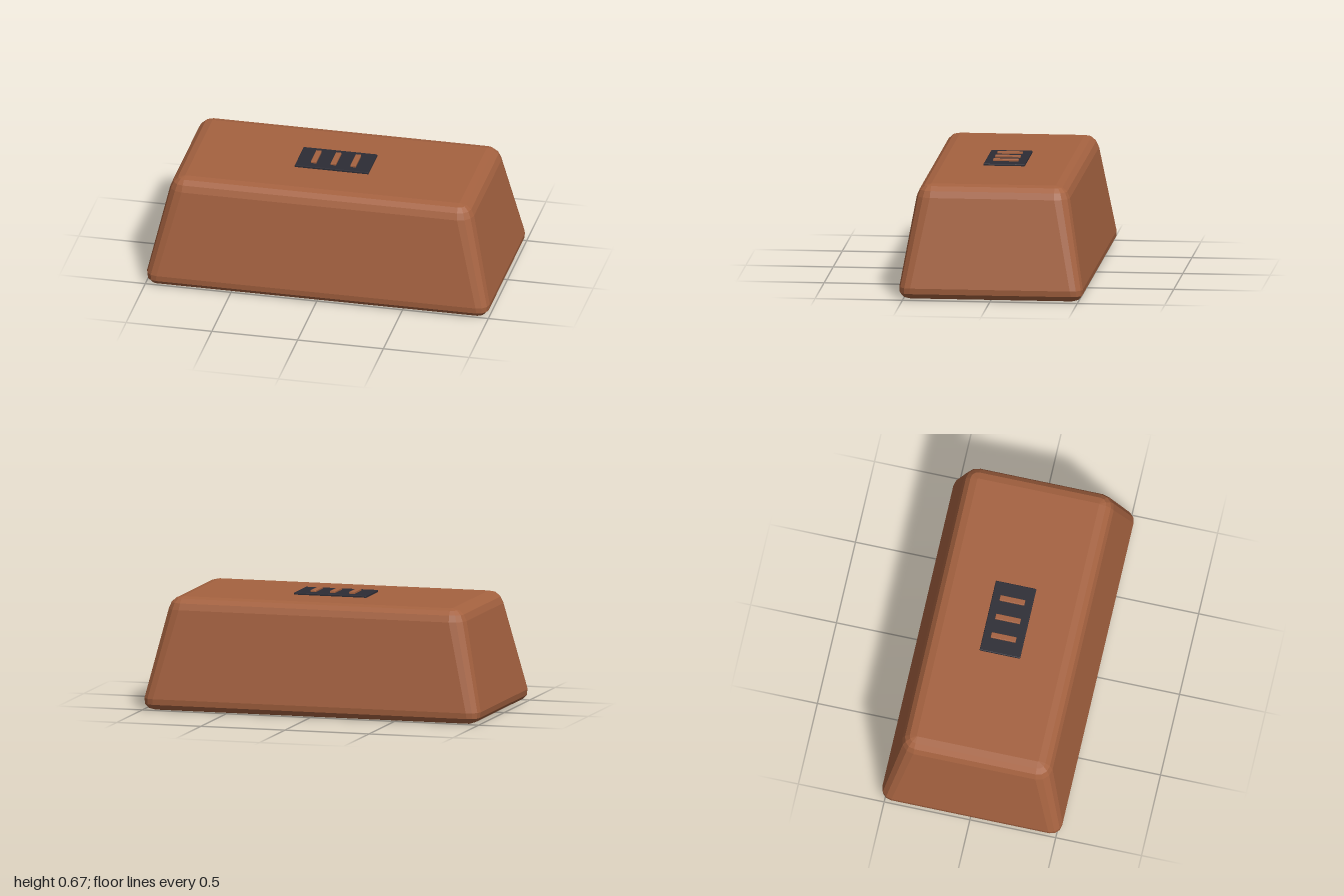
import * as THREE from 'three';
import { RoundedBoxGeometry } from 'three/addons/geometries/RoundedBoxGeometry.js';

const CORNER_STEPS = 3;

// One horizontal rounded-rectangle ring: height, half width, half depth, corner radius
function ring([y, hx, hz, r]) {
  const points = [];
  for (let corner = 0; corner < 4; corner++) {
    const sx = corner === 0 || corner === 3 ? 1 : -1;
    const sz = corner < 2 ? 1 : -1;
    for (let k = 0; k <= CORNER_STEPS; k++) {
      const a = (corner + k / CORNER_STEPS) * Math.PI / 2;
      points.push(sx * (hx - r) + r * Math.cos(a), y, sz * (hz - r) + r * Math.sin(a));
    }
  }
  return points;
}

// Skin a stack of rings and close both ends
function loft(sections) {
  const n = 4 * (CORNER_STEPS + 1);
  const index = [];
  for (let s = 0; s < sections.length - 1; s++) {
    for (let i = 0; i < n; i++) {
      const a = s * n + i, b = s * n + (i + 1) % n;
      index.push(a, a + n, b + n, a, b + n, b);
    }
  }
  const top = (sections.length - 1) * n;
  for (let i = 1; i < n - 1; i++) {
    index.push(0, i, i + 1, top, top + i + 1, top + i);
  }
  const geometry = new THREE.BufferGeometry();
  geometry.setAttribute('position', new THREE.Float32BufferAttribute(sections.flatMap(ring), 3));
  geometry.setIndex(index);
  const flat = geometry.toNonIndexed();
  flat.computeVertexNormals();
  return flat;
}

export function createModel() {
  const model = new THREE.Group();
  const brown = new THREE.MeshStandardMaterial({ name: 'warm brown', color: 0xa56240, flatShading: true });
  const charcoal = new THREE.MeshStandardMaterial({ name: 'charcoal', color: 0x2c2c35, flatShading: true });

  const add = (name, geometry, material, x, y, z) => {
    const mesh = new THREE.Mesh(geometry, material);
    mesh.name = name;
    mesh.position.set(x, y, z);
    model.add(mesh);
  };

  // Tapered block with bevelled edges
  add('body', loft([
    [0, 0.935, 0.465, 0.005],
    [0.011, 0.97, 0.502, 0.038],
    [0.035, 0.994, 0.522, 0.06],
    [0.068, 0.999, 0.525, 0.068],
    [0.573, 0.885, 0.438, 0.082],
    [0.61, 0.868, 0.422, 0.068],
    [0.634, 0.84, 0.395, 0.042],
    [0.643, 0.8, 0.355, 0.005],
  ]), brown, 0, 0, 0);

  // Dark plate on the top
  add('topPlate', new RoundedBoxGeometry(0.43, 0.018, 0.236, 1, 0.004), charcoal, 0, 0.646, 0);

  // Three raised bars on the plate
  for (const x of [-0.115, 0, 0.115]) {
    add('plateBar', new RoundedBoxGeometry(0.032, 0.014, 0.145, 1, 0.003), brown, x, 0.659, 0);
  }
  return model;
}
